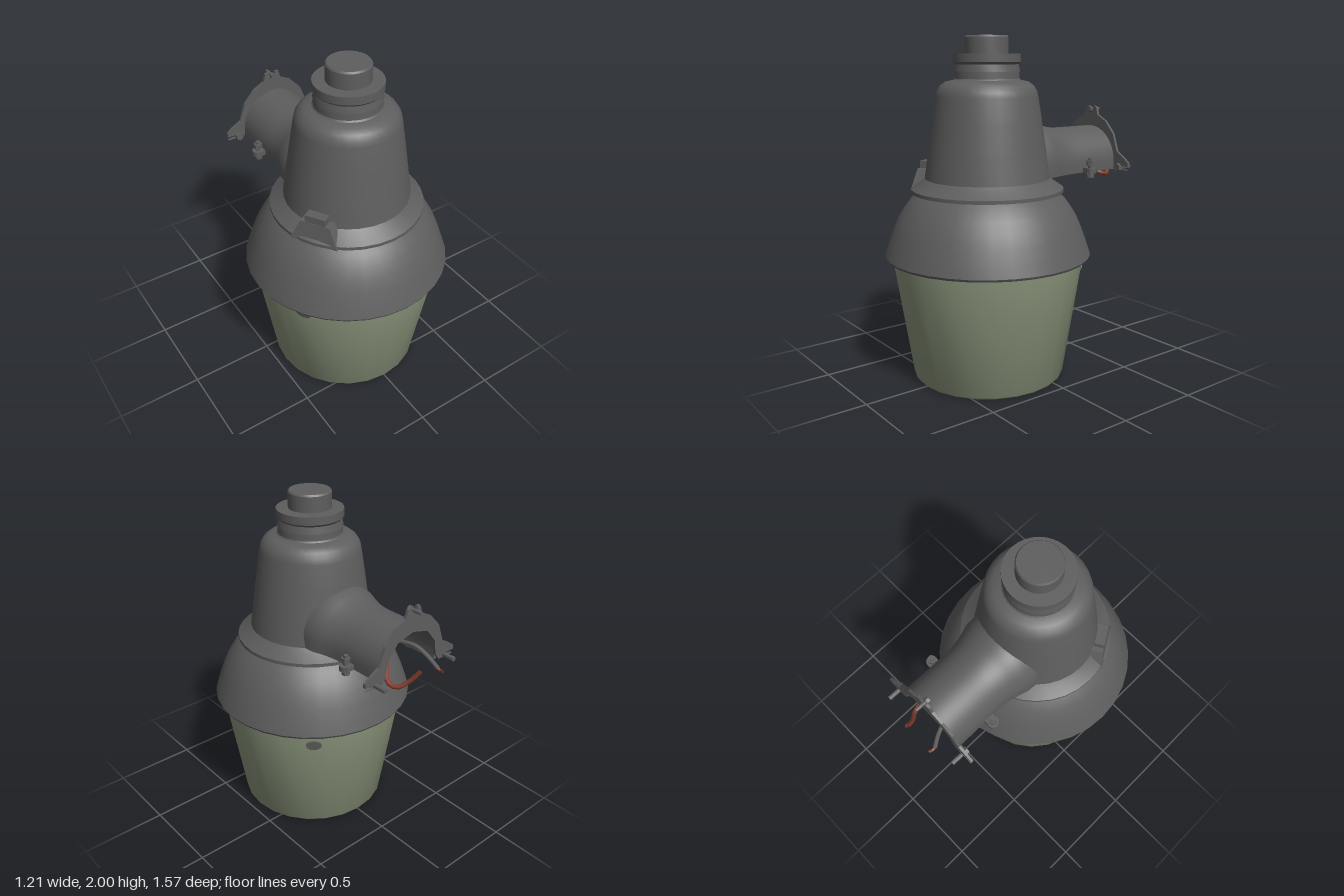
import * as THREE from 'three';
import { toCreasedNormals } from 'three/addons/utils/BufferGeometryUtils.js';

const AXIS_Z = 0.17; // the lamp's vertical axis sits forward of centre

function material(name, color, side = THREE.DoubleSide) {
  const m = new THREE.MeshStandardMaterial({ color, side });
  m.name = name;
  return m;
}

export function createModel() {
  const metal = material('grey metal', 0x5e5e5e);
  const glass = material('pale green lens', 0x8f9a80);
  const red = material('red wire', 0x8c4032);

  const model = new THREE.Group();
  model.name = 'yardLamp';
  const add = (name, geo, mat, parent = model) => {
    const mesh = new THREE.Mesh(geo, mat);
    mesh.name = name;
    parent.add(mesh);
    return mesh;
  };
  const lathe = (pts, sides = 32) => toCreasedNormals(
    new THREE.LatheGeometry(pts.map(p => new THREE.Vector2(...p)), sides), 0.6);
  const rod = (name, r, len, x, y, z, alongZ, sides = 8) => {
    const mesh = add(name, toCreasedNormals(new THREE.CylinderGeometry(r, r, len, sides), 0.9), metal);
    mesh.position.set(x, y, z);
    if (alongZ) mesh.rotation.x = Math.PI / 2;
    return mesh;
  };

  // Everything turned around the lamp axis
  const lamp = new THREE.Group();
  lamp.name = 'lampBody';
  lamp.position.z = AXIS_Z;
  model.add(lamp);

  // Open tapered lens with a thin wall
  add('lens', lathe([[0.55, 0.74], [0.435, 0.01], [0.442, 0], [0.452, 0.012], [0.566, 0.735]], 24), glass, lamp);

  // Reflector dome with a turned-in lower lip
  add('dome', lathe([[0.555, 0.75], [0.565, 0.728], [0.6, 0.728], [0.607, 0.742], [0.585, 0.81], [0.555, 0.89],
    [0.525, 0.96], [0.488, 1.02], [0.45, 1.07], [0.4, 1.115]]), metal, lamp);

  // Housing: skirt, tapered body, rounded shoulder and neck
  add('housing', lathe([[0.39, 1.11], [0.446, 1.11], [0.446, 1.13], [0.395, 1.165], [0.366, 1.19], [0.342, 1.36],
    [0.318, 1.52], [0.296, 1.66], [0.289, 1.69], [0.27, 1.72], [0.24, 1.742], [0.195, 1.752],
    [0.188, 1.76], [0.186, 1.805]]), metal, lamp);

  // Light sensor cap
  add('sensorCap', lathe([[0.17, 1.80], [0.19, 1.80], [0.183, 1.84], [0.194, 1.852], [0.194, 1.898], [0.125, 1.9],
    [0.125, 1.99], [0.118, 2], [0, 2]]), metal, lamp);

  // Latch on the skirt
  const latch = new THREE.Group();
  latch.name = 'latch';
  latch.rotation.y = Math.atan2(-0.33, 0.2);
  lamp.add(latch);
  const base = new THREE.BoxGeometry(0.28, 0.12, 0.13);
  const bp = base.attributes.position;
  for (let i = 0; i < bp.count; i++) {
    if (bp.getY(i) > 0) bp.setXYZ(i, bp.getX(i) * 0.62, bp.getY(i), bp.getZ(i) > 0 ? 0.045 : -0.065);
  }
  base.computeVertexNormals();
  add('latchBase', base, metal, latch).position.set(0, 1.17, 0.37);
  add('latchTab', new THREE.BoxGeometry(0.12, 0.05, 0.055), metal, latch).position.set(0, 1.248, 0.385);

  // Two dark oval spots on the lens, lying along its slope
  for (const [x, z, y] of [[-0.475, 0.28, 0.69], [0.345, -0.43, 0.65]]) {
    const pivot = new THREE.Group();
    pivot.name = 'lensSpot';
    pivot.rotation.y = Math.atan2(x, z);
    lamp.add(pivot);
    const spot = add('spotPlate', new THREE.CylinderGeometry(0.04, 0.04, 0.008, 12), metal, pivot);
    spot.position.set(0, y, 0.452 + (y - 0.012) * 0.158);
    spot.rotation.x = Math.PI / 2 + 0.157;
    spot.scale.set(1.15, 1, 0.85);
  }

  // Arched arm, open underneath, flaring where it meets the housing
  const arch = new THREE.Shape();
  arch.moveTo(0.215, 1.19);
  arch.lineTo(0.215, 1.235);
  arch.absarc(0, 1.235, 0.215, 0, Math.PI, false);
  arch.lineTo(-0.215, 1.19);
  arch.lineTo(-0.195, 1.19);
  arch.lineTo(-0.195, 1.235);
  arch.absarc(0, 1.235, 0.195, Math.PI, 0, true);
  arch.lineTo(0.195, 1.19);
  const armGeo = new THREE.ExtrudeGeometry(arch, { depth: 0.65, steps: 13, bevelEnabled: false, curveSegments: 12 });
  armGeo.translate(0, 0, -0.65);
  const ap = armGeo.attributes.position;
  for (let i = 0; i < ap.count; i++) {
    const t = THREE.MathUtils.clamp((ap.getZ(i) + 0.36) / 0.22, 0, 1);
    ap.setX(i, ap.getX(i) * (1 + 0.2 * t * t));
    ap.setY(i, 1.19 + (ap.getY(i) - 1.19) * (1 + 0.22 * t * t));
  }
  add('arm', toCreasedNormals(armGeo, 0.7), metal);

  // Mounting plate around the arm's end, mirrored about its centre
  const outer = [[0.018, 1.55], [0.022, 1.575], [0.045, 1.57], [0.06, 1.52], [0.13, 1.485], [0.2, 1.41], [0.24, 1.3],
    [0.3, 1.265], [0.335, 1.24], [0.335, 1.215], [0.27, 1.212], [0.27, 1.198], [0.33, 1.192], [0.22, 1.19],
    [0.19, 1.23], [0.175, 1.32], [0.11, 1.4], [0, 1.43]];
  const mirrored = outer.slice(0, -1).reverse().map(([x, y]) => [-x, y]);
  const plateShape = new THREE.Shape([...outer, ...mirrored].map(p => new THREE.Vector2(...p)));
  add('mountPlate', new THREE.ExtrudeGeometry(plateShape, { depth: 0.016, bevelEnabled: false }), metal)
    .position.z = -0.666;

  // Plate pin, mounting bolts and clamp ears
  rod('topPin', 0.011, 0.09, 0, 1.553, -0.672, true);
  rod('topPinHead', 0.02, 0.02, 0, 1.553, -0.638, true, 6);
  for (const s of [-1, 1]) {
    rod('mountBolt', 0.014, 0.11, s * 0.26, 1.205, -0.685, true);
    rod('mountBoltHead', 0.026, 0.022, s * 0.26, 1.205, -0.64, true, 6);
    add('clampEar', new THREE.BoxGeometry(0.07, 0.03, 0.06), metal).position.set(s * 0.232, 1.205, -0.42);
    rod('clampEarEnd', 0.034, 0.03, s * 0.252, 1.205, -0.42, false, 10);
    rod('clampBolt', 0.014, 0.12, s * 0.248, 1.22, -0.42, false);
    rod('clampNut', 0.026, 0.03, s * 0.248, 1.25, -0.42, false, 6);
    rod('clampBoltHead', 0.024, 0.02, s * 0.248, 1.172, -0.42, false, 6);
  }

  // Loose wires hanging from the arm
  const wire = (name, pts, r, mat) => add(name, new THREE.TubeGeometry(
    new THREE.CatmullRomCurve3(pts.map(p => new THREE.Vector3(...p))), 16, r, 6), mat);
  wire('redWire', [[0.0, 1.26, -0.42], [0.06, 1.21, -0.54], [0.13, 1.16, -0.62], [0.12, 1.148, -0.68],
    [0.08, 1.19, -0.73], [0.055, 1.26, -0.78]], 0.014, red);
  wire('greyWire', [[-0.05, 1.3, -0.5], [-0.08, 1.3, -0.62], [-0.1, 1.26, -0.69], [-0.125, 1.2, -0.745]], 0.013, metal);
  wire('greyWireTip', [[-0.125, 1.2, -0.745], [-0.125, 1.193, -0.765], [-0.122, 1.2, -0.785]], 0.009, red);

  return model;
}
